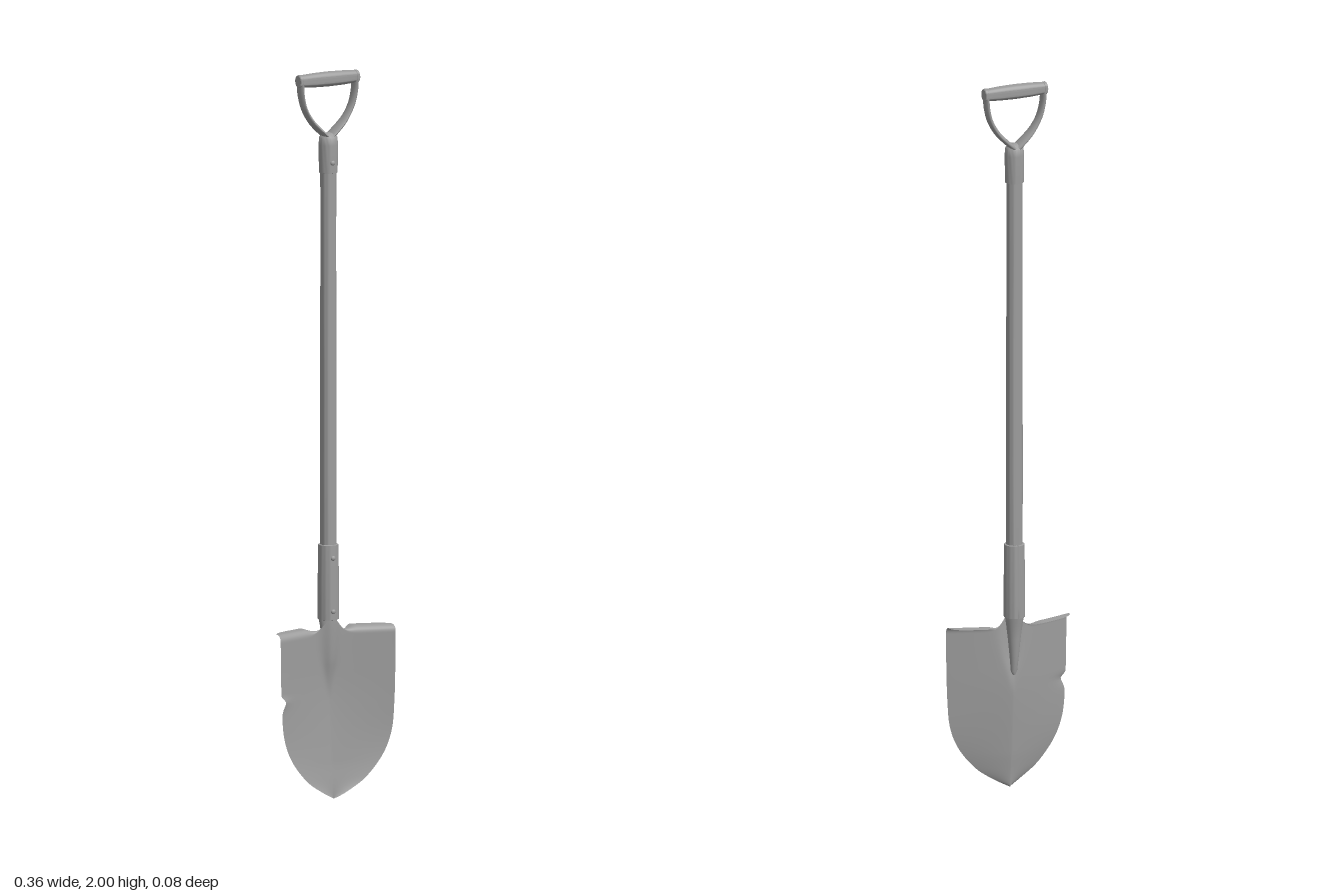
import * as THREE from 'three';
import { toCreasedNormals } from 'three/addons/utils/BufferGeometryUtils.js';

const AXIS_Z = -0.013; // centre line of the shaft
const metal = new THREE.MeshStandardMaterial({ color: 0x9d9d9d, side: THREE.DoubleSide });
const smooth = THREE.MathUtils.smoothstep;

function part(name, geometry, x = 0, y = 0, z = 0) {
  const mesh = new THREE.Mesh(geometry, metal);
  mesh.name = name;
  mesh.position.set(x, y, z);
  return mesh;
}

// Lathe from [radius, height] pairs, optionally with a slit at the back
function turned(profile, slit = 0) {
  const points = profile.map(([r, y]) => new THREE.Vector2(r, y));
  const geometry = new THREE.LatheGeometry(points, 28, Math.PI + slit / 2, Math.PI * 2 - slit);
  return toCreasedNormals(geometry, 0.7);
}

// Surface through rows of points of equal length
function sheet(rows) {
  const cols = rows[0].length;
  const index = [];
  for (let i = 0; i < rows.length - 1; i++) {
    for (let j = 0; j < cols - 1; j++) {
      const a = i * cols + j, b = a + cols;
      index.push(a, a + 1, b + 1, a, b + 1, b);
    }
  }
  const geometry = new THREE.BufferGeometry();
  geometry.setAttribute('position', new THREE.Float32BufferAttribute(rows.flat(2), 3));
  geometry.setIndex(index);
  geometry.computeVertexNormals();
  return geometry;
}

// Dished, creased blade with a worn notch, a ridge running up into the socket
// and a tread lip rolled to the back
function bladeGeometry() {
  const TOP = 0.45, ROLL = 0.018, ROWS = 100, COLS = 64;
  const outline = new THREE.SplineCurve([
    [0, 0], [0.035, 0.018], [0.09, 0.055], [0.14, 0.115], [0.166, 0.18],
    [0.174, 0.26], [0.177, 0.36], [0.178, TOP],
  ].map(([x, y]) => new THREE.Vector2(x, y)));

  const row = (w, y, bend) => {
    const line = [];
    const edgeZ = 0.016 + 0.027 * Math.sqrt(Math.min(1, w / 0.17));
    const centreZ = 0.016 - 0.024 * smooth(y, -0.1, 0.34) * smooth(y, -0.05, 0.1);
    const ridge = 0.021 * smooth(y, 0.27, 0.45);
    const ridgeWidth = 0.008 + 0.02 * smooth(y, 0.28, 0.47);
    for (let j = 0; j <= COLS; j++) {
      const v = (j / COLS) * 2 - 1, s = Math.abs(v) ** 1.3, u = Math.sign(v) * s;
      // notch in one side only
      const d = y - 0.284;
      const notch = u < 0 ? 0.014 * Math.exp(-((d / (d > 0 ? 0.009 : 0.022)) ** 2)) : 0;
      const x = u * (w - notch * s ** 6);
      let z = centreZ + (edgeZ - centreZ) * s ** 1.2 + ridge * Math.exp(-((x / ridgeWidth) ** 2));
      // rise towards the socket in the middle of the top edge
      let py = y + 0.046 * Math.exp(-((x / 0.034) ** 2)) * smooth(y, 0.37, TOP);
      if (bend > 0) {
        const lip = smooth(Math.abs(x), 0.03, 0.08);
        const angle = Math.min(bend * 2, 1) * Math.PI / 2;
        const depth = 0.043 * (1 - 0.42 * s ** 14);
        py += ROLL * Math.sin(angle) * lip;
        z -= lip * (ROLL * (1 - Math.cos(angle)) + Math.max(0, bend * 2 - 1) * (depth - ROLL));
      }
      line.push([x, py, z]);
    }
    return line;
  };

  const rows = [];
  for (let i = 0; i <= ROWS; i++) {
    const p = outline.getPoint(i / ROWS);
    rows.push(row(Math.max(p.x, 0.0005), p.y, 0));
  }
  for (let i = 1; i <= 12; i++) rows.push(row(0.178, TOP, i / 12));
  return sheet(rows);
}

// Tapered neck behind the ridge, from [height, half width, half depth, centre z]
function neckGeometry() {
  const sections = [
    [0.325, 0.003, 0.004, -0.01], [0.335, 0.009, 0.007, -0.01], [0.38, 0.013, 0.014, -0.011],
    [0.43, 0.018, 0.018, -0.011], [0.475, 0.024, 0.022, -0.012], [0.5, 0.028, 0.028, AXIS_Z],
    [0.52, 0.028, 0.028, AXIS_Z],
  ];
  return sheet(sections.map(([y, rx, rz, cz]) => Array.from({ length: 25 }, (_, j) => {
    const a = (j / 24) * Math.PI * 2, depth = Math.sin(a) > 0 ? rz * 0.6 : rz;
    return [-rx * Math.cos(a), y, cz + depth * Math.sin(a)];
  })));
}

// Flattened arm, deepest where it leaves the socket
function armGeometry(side) {
  const path = new THREE.CatmullRomCurve3([
    [0.006, 1.822], [0.024, 1.838], [0.05, 1.865], [0.072, 1.902], [0.082, 1.94], [0.085, 1.978],
  ].map(([x, y]) => new THREE.Vector3(side * x, y, 0)));
  const arm = new THREE.TubeGeometry(path, 28, 0.007, 12);
  const pos = arm.attributes.position;
  for (let i = 0; i < pos.count; i++) {
    const y = pos.getY(i);
    pos.setZ(i, pos.getZ(i) * (3.2 - 0.9 * smooth(y, 1.83, 1.89) + 0.2 * smooth(y, 1.92, 1.98)));
  }
  arm.computeVertexNormals();
  return arm;
}

export function createModel() {
  const model = new THREE.Group();
  model.name = 'shovel';

  // Blade and the neck that joins it to the socket
  model.add(part('blade', bladeGeometry()));
  model.add(part('neck', neckGeometry()));

  // Shaft with sockets at both ends
  model.add(part('shaft', turned([
    [0, 0.5], [0.022, 0.5], [0.023, 0.9], [0.0225, 1.2], [0.0215, 1.5], [0.022, 1.8], [0, 1.8],
  ]), 0, 0, AXIS_Z));
  model.add(part('lowerSocket', turned([
    [0.022, 0.49], [0.029, 0.492], [0.029, 0.6], [0.0275, 0.697], [0.0225, 0.698],
  ], 0.16), 0, 0, AXIS_Z));
  model.add(part('upperSocket', turned([
    [0.022, 1.722], [0.0255, 1.723], [0.0265, 1.8], [0.025, 1.82], [0.016, 1.83], [0, 1.834],
  ]), 0, 0, AXIS_Z));

  // Rivets
  for (const [y, z] of [[0.515, 0.015], [0.662, 0.014], [1.752, 0.012]]) {
    const rivet = part('rivet', new THREE.SphereGeometry(0.007, 12, 8), 0, y, z);
    rivet.scale.z = 0.7;
    model.add(rivet);
  }

  // Handle: two flattened arms, their eyes and a barrel grip
  const handle = new THREE.Group();
  handle.name = 'handle';
  handle.position.z = AXIS_Z - 0.003;
  for (const side of [-1, 1]) {
    handle.add(part('handleArm', armGeometry(side)));
    const eye = part('handleEye', turned([
      [0, -0.005], [0.016, -0.005], [0.0178, -0.003], [0.0178, 0.003], [0.016, 0.005], [0, 0.005],
    ]), side * 0.087, 1.98, 0);
    eye.rotation.z = Math.PI / 2;
    handle.add(eye);
  }
  const grip = part('grip', turned([
    [0, -0.084], [0.017, -0.084], [0.0195, -0.045], [0.0205, 0], [0.0195, 0.045], [0.017, 0.084], [0, 0.084],
  ]), 0, 1.98, 0);
  grip.rotation.z = Math.PI / 2;
  handle.add(grip);
  model.add(handle);

  return model;
}
